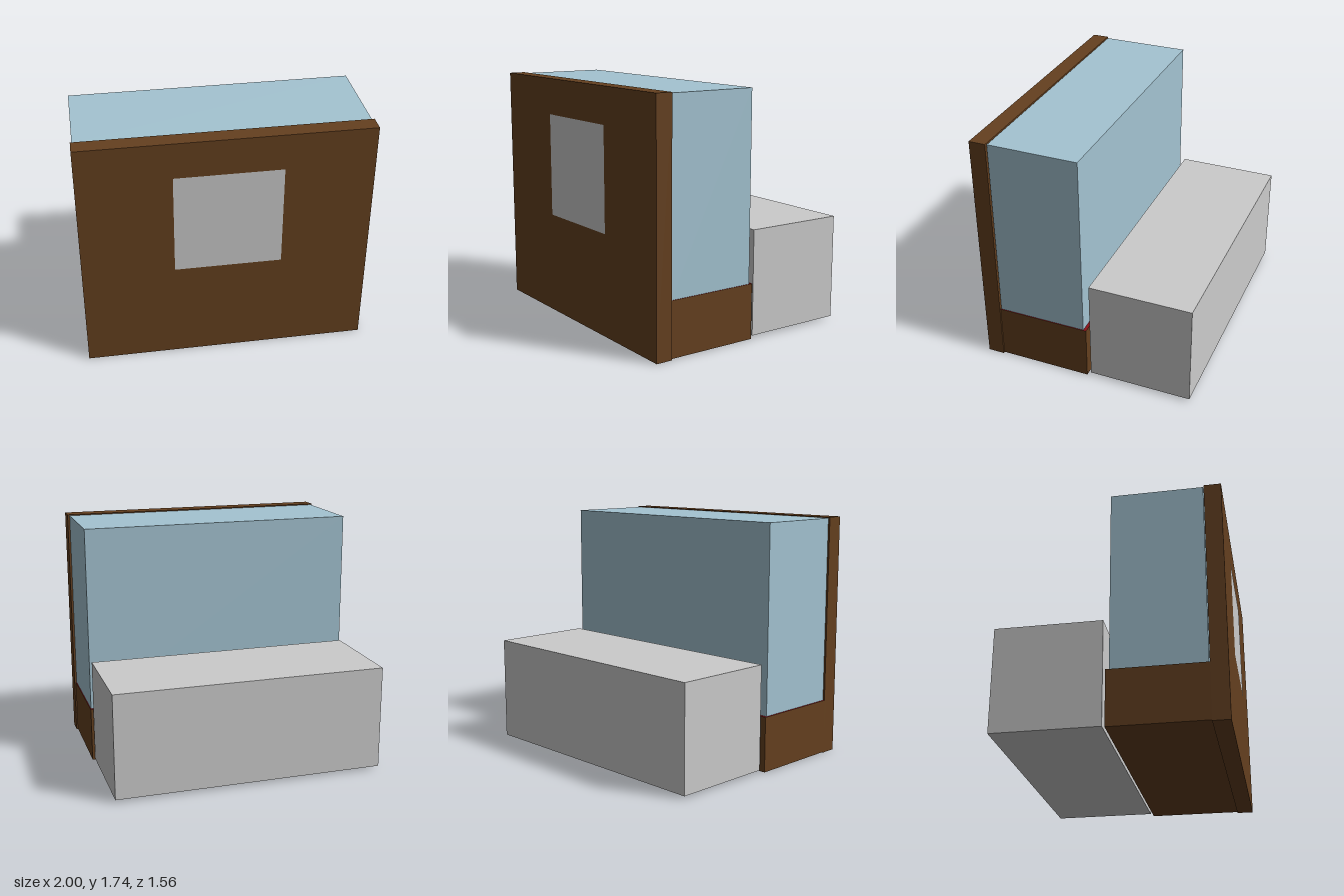
import * as THREE from 'three';

const material = (color) => new THREE.MeshStandardMaterial({ color });

// Box given by its [min, max] extent on each axis
function block(name, [x0, x1], [y0, y1], [z0, z1], mat) {
  const mesh = new THREE.Mesh(new THREE.BoxGeometry(x1 - x0, y1 - y0, z1 - z0), mat);
  mesh.position.set((x0 + x1) / 2, (y0 + y1) / 2, (z0 + z1) / 2);
  mesh.name = name;
  return mesh;
}

export function createModel() {
  const group = new THREE.Group();
  const wood = material(0x65401f);
  const glass = material(0xa4c4d2);
  const red = material(0x8b1219);
  const grey = material(0xcccccc);

  // Tall wooden front and the low cabinet behind it
  group.add(block('frontPanel', [-1, 1], [0, 1.74], [0.66, 0.78], wood));
  const base = block('base', [-1, 0.99], [0.005, 0.4], [-0.012, 0.66], wood);
  // Only the top face of the cabinet is red
  base.material = [wood, wood, red, wood, wood, wood];
  group.add(base);

  // Glass case standing on the cabinet, with a hairline gap behind the front panel
  group.add(block('glassCase', [-0.99, 0.985], [0.4, 1.733], [0.01, 0.655], glass));

  // Separate low bench at the back
  group.add(block('rearBench', [-0.975, 0.975], [0.02, 0.77], [-0.78, -0.035], grey));

  // Flat square plate on the front panel
  const plate = new THREE.Mesh(new THREE.PlaneGeometry(0.745, 0.745), grey.clone());
  plate.material.side = THREE.DoubleSide;
  plate.position.set(0.01, 1.108, 0.782);
  plate.name = 'frontPlate';
  group.add(plate);

  return group;
}
